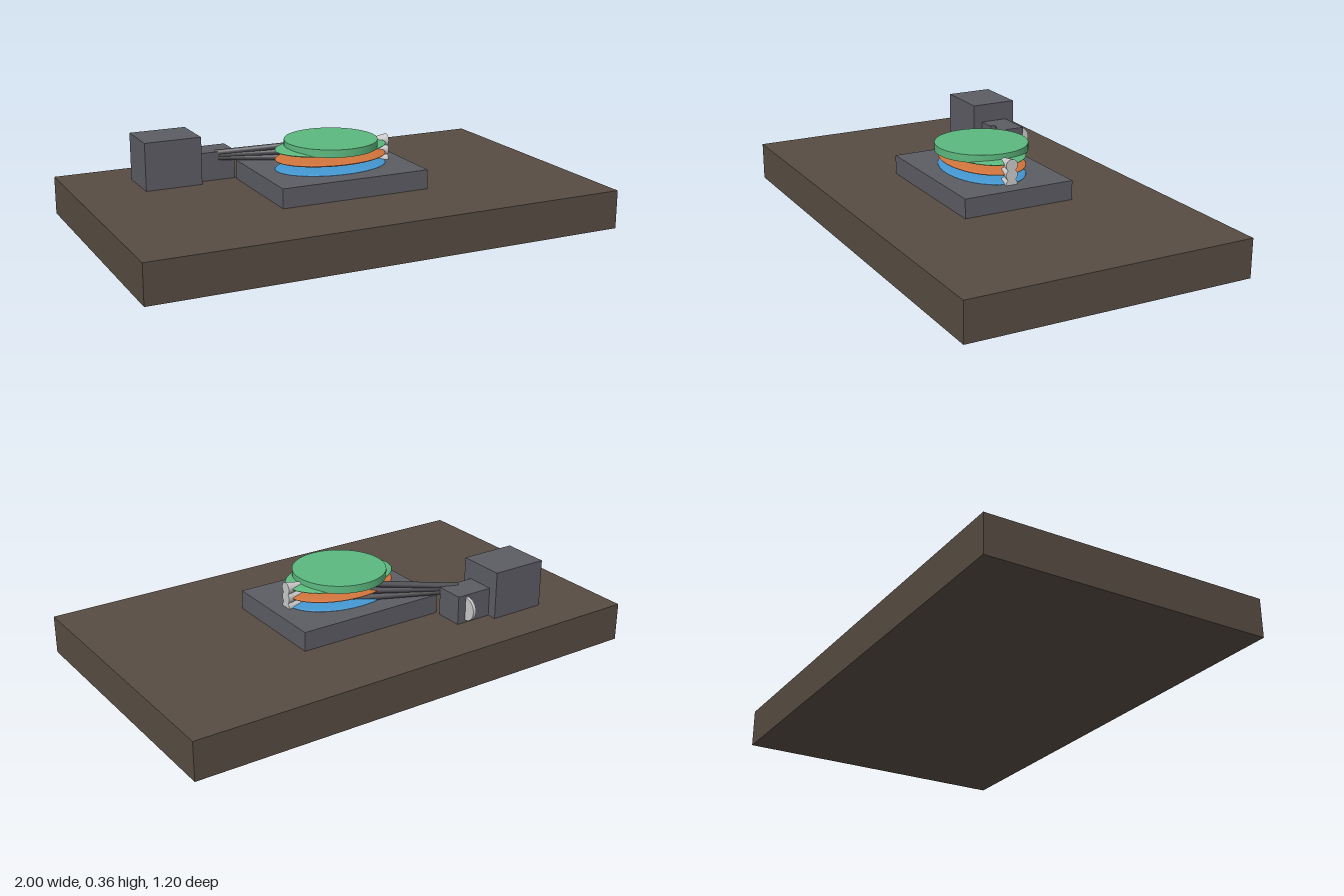
import * as THREE from 'three';

const mat = (name, color) => {
  const m = new THREE.MeshStandardMaterial({ color });
  m.name = name;
  return m;
};

export function createModel() {
  const brown = mat('dark wood', 0x574c42);
  const grey = mat('slate grey', 0x5c5c64);
  const dark = mat('arm grey', 0x4b4b50);
  const silver = mat('silver', 0xcacaca);
  const green = mat('green', 0x5cb87e);
  const orange = mat('orange', 0xd0743c);
  const blue = mat('blue', 0x4396d0);

  const model = new THREE.Group();
  const add = (name, geometry, material, x, y, z) => {
    const mesh = new THREE.Mesh(geometry, material);
    mesh.name = name;
    mesh.position.set(x, y, z);
    model.add(mesh);
    return mesh;
  };
  const box = (name, material, w, h, d, x, bottom, z) =>
    add(name, new THREE.BoxGeometry(w, h, d), material, x, bottom + h / 2, z);

  // Base slab, plinth and the two housing blocks
  box('base', brown, 2, 0.16, 1.2, 0, 0, 0);
  box('plinth', grey, 0.64, 0.08, 0.48, 0, 0.16, 0);
  box('largeHousing', grey, 0.24, 0.2, 0.2, -0.6, 0.16, -0.32);
  box('smallHousing', grey, 0.16, 0.12, 0.12, -0.4, 0.16, -0.32);

  // Thumb wheel half sunk in the back of the small housing
  add('wheel', new THREE.CylinderGeometry(0.05, 0.05, 0.014, 32), silver, -0.364, 0.22, -0.38)
    .rotation.z = Math.PI / 2;

  // Stacked oval lenses, each with an arm and a flared pin
  [blue, orange, green].forEach((material, i) => {
    const y = 0.24 + i * 0.04;
    add('ovalDisc', new THREE.SphereGeometry(1, 48, 24), material, 0, y, 0)
      .scale.set(0.24, 0.016, 0.16);

    const start = new THREE.Vector3(-0.4, 0.254 + i * 0.009, -0.275);
    const end = new THREE.Vector3(0.05, 0.25 + i * 0.036, -0.075);
    const along = end.clone().sub(start);
    const mid = start.clone().add(end).multiplyScalar(0.5);
    add('arm', new THREE.CylinderGeometry(0.013, 0.013, along.length(), 12), dark, mid.x, mid.y, mid.z)
      .quaternion.setFromUnitVectors(new THREE.Vector3(0, 1, 0), along.normalize());

    add('pin', new THREE.CylinderGeometry(0.026, 0.015, 0.066, 24), silver, 0.223, y, 0)
      .rotation.z = -Math.PI / 2;
  });

  // Round lid
  add('lid', new THREE.CylinderGeometry(0.192, 0.192, 0.032, 48), green, 0, 0.336, 0);

  return model;
}
